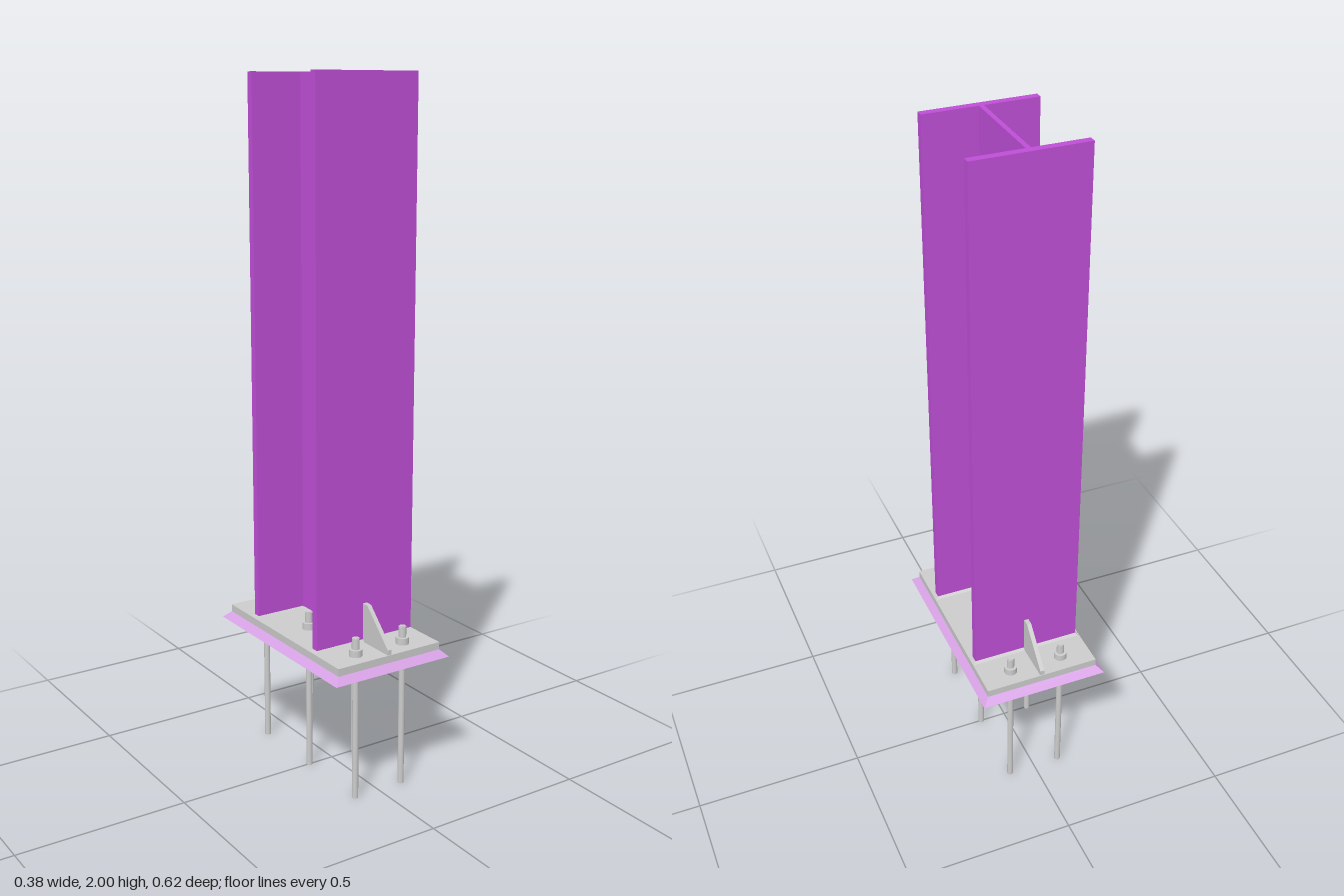
import * as THREE from 'three';

const grey = new THREE.MeshStandardMaterial({ color: 0xcccccc, flatShading: true });
const purple = new THREE.MeshStandardMaterial({ color: 0xbe4ed6, flatShading: true });
const mauve = new THREE.MeshStandardMaterial({ color: 0xd8a2e6, flatShading: true });
const smoothGrey = new THREE.MeshStandardMaterial({ color: 0xcccccc });

const PLATE_TOP = 0.432;
const FLANGE_Z = 0.158; // centre of each flange

export function createModel() {
  const group = new THREE.Group();

  const add = (name, geometry, material, x = 0, y = 0, z = 0) => {
    const mesh = new THREE.Mesh(geometry, material);
    mesh.name = name;
    mesh.position.set(x, y, z);
    group.add(mesh);
    return mesh;
  };

  // Box standing on y0, its lower edge spread outward by flare
  const block = (name, material, w, d, y0, y1, z = 0, flare = 0) => {
    const geometry = new THREE.BoxGeometry(w, y1 - y0, d);
    const p = geometry.attributes.position;
    for (let i = 0; i < p.count; i++) {
      if (p.getY(i) < 0) {
        p.setX(i, p.getX(i) + Math.sign(p.getX(i)) * flare);
        p.setZ(i, p.getZ(i) + Math.sign(p.getZ(i)) * flare);
      }
    }
    geometry.computeVertexNormals();
    return add(name, geometry, material, 0, (y0 + y1) / 2, z);
  };

  const cylinder = (name, r, y0, y1, x, z) =>
    add(name, new THREE.CylinderGeometry(r, r, y1 - y0, 20), smoothGrey, x, (y0 + y1) / 2, z);

  // Base: bevelled grout bed and steel plate
  block('groutBed', mauve, 0.344, 0.584, 0.39, 0.41, 0, 0.02);
  block('basePlate', grey, 0.344, 0.584, 0.41, PLATE_TOP);

  // I-section column
  block('columnWeb', purple, 0.0136, 0.294, PLATE_TOP, 2);
  block('webWeld', grey, 0.0138, 0.284, PLATE_TOP, PLATE_TOP + 0.007, 0, 0.007);

  // Gusset profile: outward distance along x, height along y
  const profile = new THREE.Shape([
    [0.169, PLATE_TOP], [0.29, PLATE_TOP], [0.29, 0.447], [0.19, 0.547], [0.169, 0.547],
  ].map(([a, b]) => new THREE.Vector2(a, b)));
  const gusset = new THREE.ExtrudeGeometry(profile, { depth: 0.013, bevelEnabled: false });
  gusset.translate(0, 0, -0.0065);

  for (const side of [1, -1]) {
    const end = side > 0 ? 'front' : 'back';
    block(end + 'Flange', purple, 0.324, 0.022, PLATE_TOP, 2, side * FLANGE_Z);
    block(end + 'FlangeWeld', grey, 0.3242, 0.0222, PLATE_TOP, PLATE_TOP + 0.007, side * FLANGE_Z, 0.007);
    add(end + 'Gusset', gusset, grey).rotation.y = -side * Math.PI / 2;
  }

  // Anchor bolts: long rod, wide washer and slim nut collar
  for (const x of [-0.08, 0.08]) {
    for (const z of [-0.24, 0, 0.24]) {
      cylinder('anchorRod', 0.009, 0, 0.485, x, z);
      cylinder('anchorWasher', 0.019, PLATE_TOP, 0.452, x, z);
      cylinder('anchorNut', 0.011, 0.452, 0.483, x, z);
    }
  }

  return group;
}
